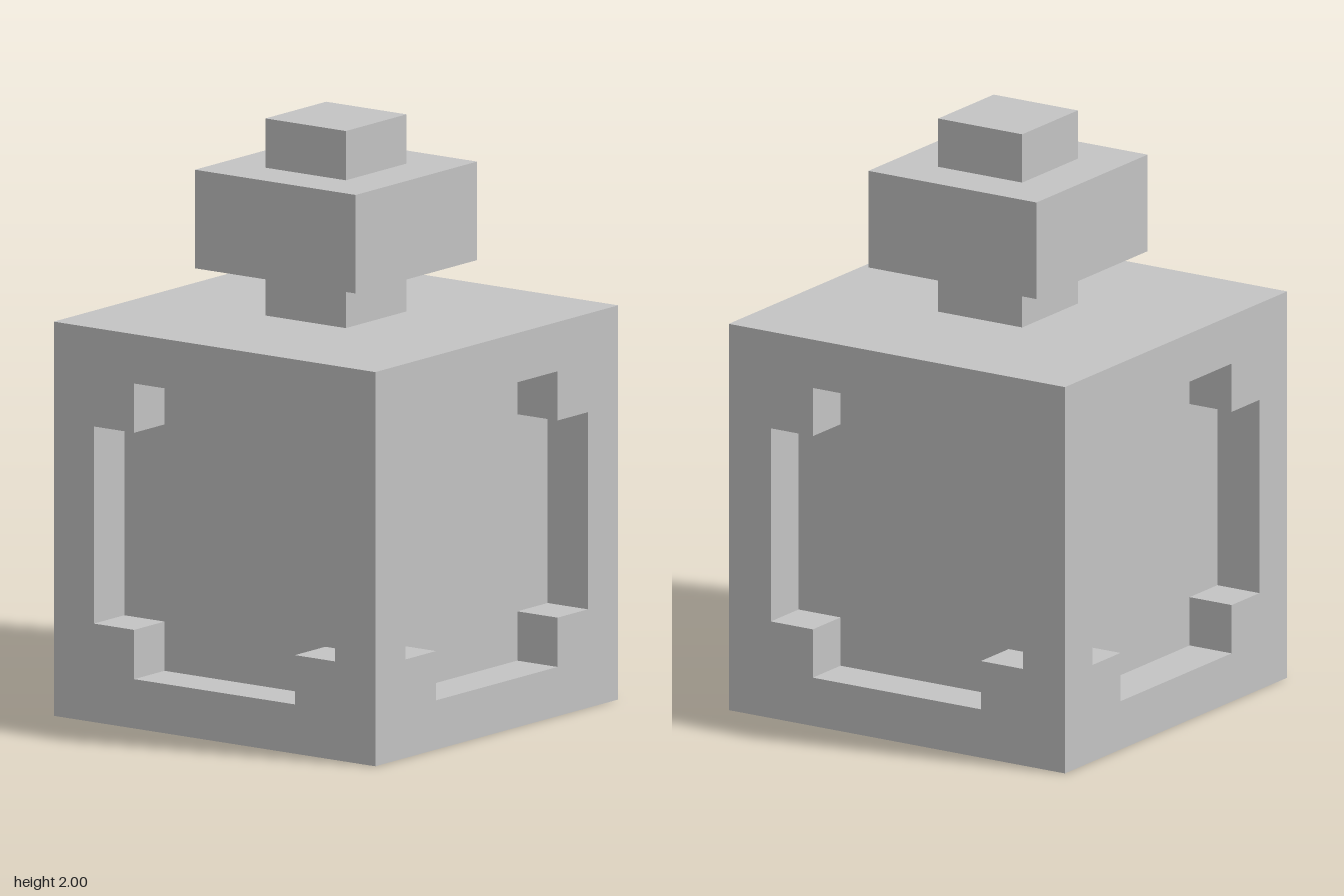
import * as THREE from 'three';

const U = 1 / 6; // block unit: the body is 8 units wide, the whole model 12 tall

const path = (points, Type) =>
  new Type(points.map(([x, y]) => new THREE.Vector2(x * U, y * U)));

const square = (h) => [[-h, -h], [h, -h], [h, h], [-h, h]];
const steppedHole = [
  [-2, -3], [2, -3], [2, -2], [3, -2], [3, 2], [2, 2],
  [2, 3], [-2, 3], [-2, 2], [-3, 2], [-3, -2], [-2, -2],
];

// Plate one unit thick whose outer rim is mitred, so six of them close a cube
function mitredPanel(hole) {
  const shape = path(square(4), THREE.Shape);
  if (hole) shape.holes.push(path(hole, THREE.Path));
  const geo = new THREE.ExtrudeGeometry(shape, { depth: U, bevelEnabled: false });
  const pos = geo.attributes.position;
  for (let i = 0; i < pos.count; i++) {
    if (pos.getZ(i) > U / 2) continue; // only the inner side is narrowed
    pos.setX(i, THREE.MathUtils.clamp(pos.getX(i), -3 * U, 3 * U));
    pos.setY(i, THREE.MathUtils.clamp(pos.getY(i), -3 * U, 3 * U));
  }
  geo.translate(0, 0, 3 * U);
  geo.computeVertexNormals();
  return geo;
}

export function createModel() {
  const model = new THREE.Group();
  model.name = 'bottle';
  const grey = new THREE.MeshStandardMaterial({ color: 0xc4c4c4 });
  grey.name = 'plain grey';

  const add = (name, geo, y) => {
    const mesh = new THREE.Mesh(geo, grey);
    mesh.name = name;
    mesh.position.y = y * U;
    model.add(mesh);
    return mesh;
  };
  const block = (name, width, height, bottom) =>
    add(name, new THREE.BoxGeometry(width * U, height * U, width * U), bottom + height / 2);

  // Inner body, seen at the bottom of every recess
  block('innerBody', 6, 6, 1);

  // Four side frames with stepped openings
  const frame = mitredPanel(steppedHole);
  ['frontFrame', 'leftFrame', 'backFrame', 'rightFrame'].forEach((name, i) => {
    add(name, frame, 4).rotation.y = (i * Math.PI) / 2;
  });

  // Closed shoulder on top, square rim underneath
  add('shoulder', mitredPanel(), 4).rotation.x = -Math.PI / 2;
  add('baseRim', mitredPanel(square(3)), 4).rotation.x = Math.PI / 2;

  // Neck and stopper
  block('neck', 2, 1, 8);
  block('collar', 4, 2, 9);
  block('stopper', 2, 1, 11);

  return model;
}
